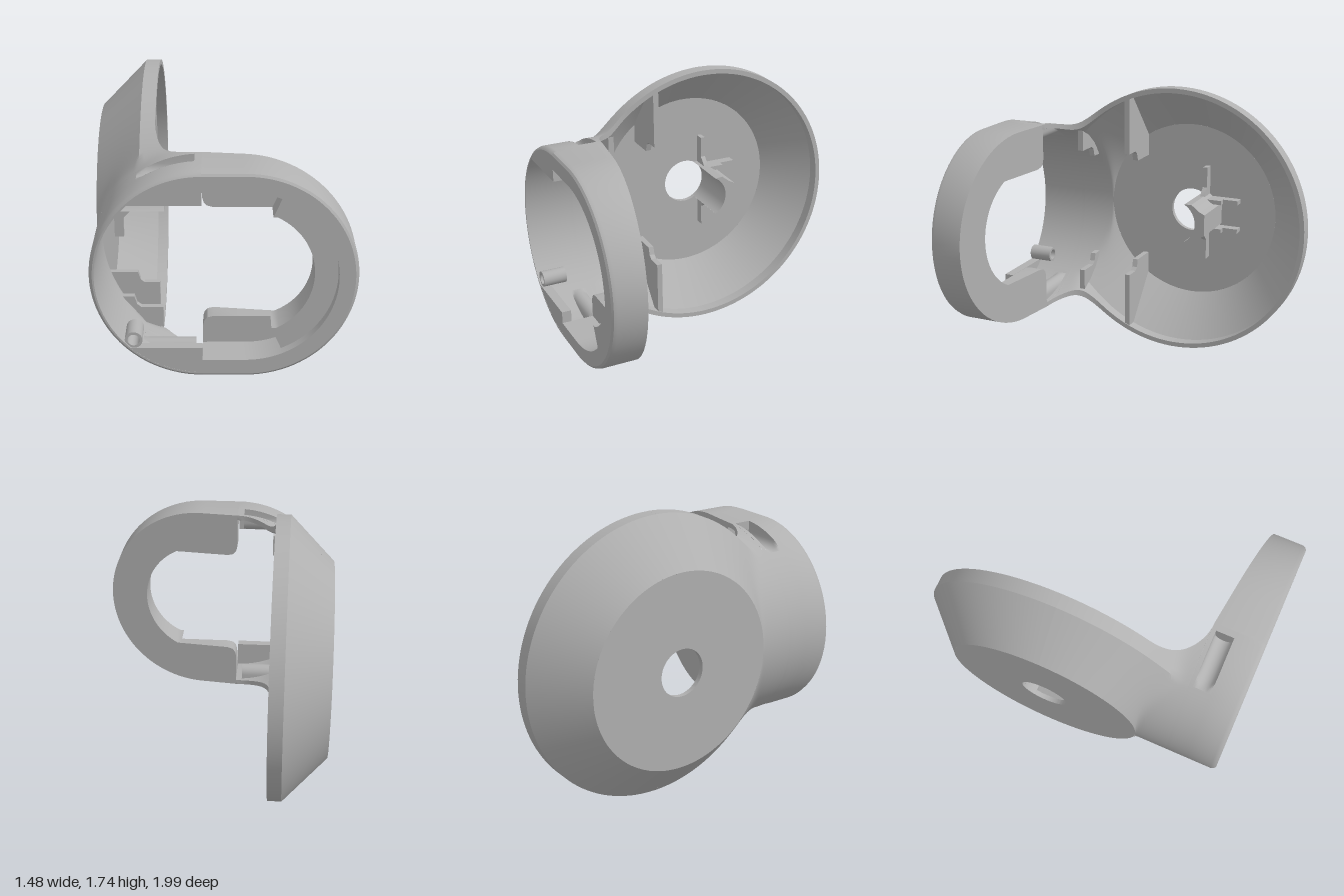
import * as THREE from 'three';
import { toCreasedNormals } from 'three/addons/utils/BufferGeometryUtils.js';

const CY = 0.875, CZ = -0.12, CX = -0.12; // dish centre (y, z); left cup centre x

const grey = new THREE.MeshStandardMaterial({ color: 0xb0b0b0, side: THREE.DoubleSide });
grey.name = 'plain grey';

export function createModel() {
  const model = new THREE.Group();

  const add = (name, geo, crease = 0.5) => {
    const mesh = new THREE.Mesh(toCreasedNormals(geo, crease), grey);
    mesh.name = name;
    model.add(mesh);
    return mesh;
  };

  // Joins rows of points into a skin; closed rows wrap round
  const loft = (rows, closed, skip = () => false, capFan = -1) => {
    const pos = [], n = rows[0].length;
    const tri = (a, b, c) => pos.push(...a, ...b, ...c);
    for (let i = 0; i < rows.length - 1; i++) {
      for (let j = 0; j < (closed ? n : n - 1); j++) {
        if (skip(i, j)) continue;
        const k = (j + 1) % n;
        tri(rows[i][j], rows[i][k], rows[i + 1][k]);
        tri(rows[i][j], rows[i + 1][k], rows[i + 1][j]);
      }
    }
    if (capFan >= 0) for (const row of [rows[0], rows[rows.length - 1]]) {
      for (let j = 1; j < n - 1; j++) tri(row[capFan], row[(capFan + j) % n], row[(capFan + j + 1) % n]);
    }
    const g = new THREE.BufferGeometry();
    g.setAttribute('position', new THREE.Float32BufferAttribute(pos, 3));
    return g;
  };
  const range = (n, f) => Array.from({ length: n + 1 }, (_, i) => f(i / n));

  // Dish: floor disc with a hole, and the rear half of the sloping wall
  const lathe = (pts, start, len, seg) => new THREE.LatheGeometry(
    [...pts, pts[0]].map(([r, x]) => new THREE.Vector2(r, x)), seg, start, len)
    .rotateZ(-Math.PI / 2).translate(0, CY, CZ);
  add('dishFloor', lathe([[0.145, -0.74], [0.6, -0.74], [0.583, -0.71], [0.145, -0.71]], 0, Math.PI * 2, 96));
  add('dishWall', lathe([[0.6, -0.74], [0.87, -0.475], [0.87, -0.39], [0.84, -0.39], [0.84, -0.46], [0.583, -0.71]],
    Math.PI / 2, Math.PI, 64));

  // Neck: front half of the dish merging into the round cup
  const outer = { floor: -0.74, bend: -0.475, cup: 0.62, r: x => x > -0.475 ? 0.87 : 0.6 + (x + 0.74) * 1.019 };
  const inner = { floor: -0.71, bend: -0.46, cup: 0.59, r: x => x > -0.46 ? 0.84 : 0.583 + (x + 0.71) * 1.028 };
  const halfWidth = (s, x, z) => {
    const a = Math.sqrt(Math.max(0, s.r(x) ** 2 - (z - CZ) ** 2));
    const b = Math.sqrt(Math.max(0, s.cup ** 2 - (x - CX) ** 2));
    return (a ** 12 + b ** 12) ** (1 / 12);
  };
  const rimX = z => z < 0.4 ? -0.39 : CX - 0.27 * Math.sqrt(Math.max(0, 1 - ((z - 0.4) / 0.285) ** 2));
  const halfSkin = (s, z, sign) => [
    ...range(5, t => rimX(z) + (s.bend - rimX(z)) * t),
    ...range(20, t => s.floor + (s.bend - s.floor) * (1 - t) ** 2).slice(1),
  ].map(x => [x, CY + sign * halfWidth(s, x, z), z]);
  const neckRow = z => [
    ...halfSkin(outer, z, 1), ...halfSkin(outer, z, -1).reverse(),
    ...halfSkin(inner, z, -1), ...halfSkin(inner, z, 1).reverse(),
  ];
  const neckZ = [...range(30, t => CZ + 0.6 * Math.sin(t * Math.PI / 2)),
    ...range(20, t => 0.48 + 0.205 * Math.sin(t * Math.PI / 2)).slice(1)];
  const count = 26;
  add('neck', loft(neckZ.map(neckRow), true, (i, j) => j === count - 1 || j === 3 * count - 1), 0.6);

  // Left half of the cup wall, with a slot above and below
  const slotA = Math.acos(-0.04 / 0.62), slotB = Math.acos(-0.36 / 0.62), PI = Math.PI;
  const angles = [PI / 2, ...range(8, t => slotA + (slotB - slotA) * t),
    ...range(24, t => slotB + (2 * PI - 2 * slotB) * t).slice(1),
    ...range(8, t => 2 * PI - slotB + (slotB - slotA) * t).slice(1), PI * 1.5];
  const arc = (r, z) => angles.map(a => [CX + r * Math.cos(a), CY + r * Math.sin(a), z]);
  const cupRows = [[0.685, 0.62], [0.71, 0.62], [0.82, 0.62], [0.97, 0.62], [0.99, 0.613], [1, 0.6], [1, 0.59]]
    .map(([z, r]) => [...arc(r, z), ...arc(0.59, z).reverse()]);
  const total = angles.length;
  add('cupWall', loft(cupRows, true, (i, j) => {
    const k = j < total ? j : 2 * total - 2 - j;
    return i === 1 && ((k >= 1 && k < 9) || (k >= total - 10 && k < total - 2));
  }), 0.6);

  // Right half of the cup: thick rim, recessed ledge and sloping back
  const backZ = x => 0.685 + (x + 0.12) * 0.123;
  const rimRow = (x0, sign, a, ledge, hole) => {
    const c = Math.cos(a), s = Math.sin(a);
    const h = hole ?? Math.min(0.38, 0.34 / Math.max(1e-6, Math.abs(s)));
    const at = (r, z) => { const x = x0 + r * c; return [x, CY + r * s, z ?? backZ(x)]; };
    return [at(0.62), at(0.62, 0.97), at(0.613, 0.99), at(0.6, 1), at(0.51, 1), at(0.51, ledge), at(h, ledge), at(h)];
  };
  const straight = sign => [[-0.12, 0.4], [-0.112, 0.37], [-0.095, 0.35], [-0.06, 0.34], [0.1, 0.34]]
    .map(([x, h]) => rimRow(x, sign, sign * PI / 2, 0.8, h));
  const step = Math.acos(0.15 / 0.38);
  const bend = [
    ...range(6, t => rimRow(0.12, 1, PI / 2 + (step - PI / 2) * t, 0.8)),
    ...range(40, t => rimRow(0.12, 1, step - 2 * step * t, 0.94)),
    ...range(6, t => rimRow(0.12, 1, -step + (step - PI / 2) * t, 0.8)),
  ];
  add('cupRim', loft([...straight(1), ...bend, ...straight(-1).reverse()], true, undefined, 5));

  // Extruded flat parts
  const plateZ = (pts, z, depth) => new THREE.ExtrudeGeometry(
    new THREE.Shape(pts.map(p => new THREE.Vector2(...p))), { depth, bevelEnabled: false }).translate(0, 0, z);
  const alongX = (pts, x0, x1) => plateZ(pts, x0, x1 - x0).rotateY(PI / 2); // points are (-z, y)

  for (const s of [1, -1]) {
    const side = s > 0 ? 'upper' : 'lower';
    const m = pts => pts.map(([x, y]) => [x, CY + s * y]);

    // Front flange behind the open edge
    const a0 = PI - Math.asin(0.435 / 0.6);
    add(side + 'Flange', plateZ(m([[-0.12, 0.435],
      ...range(16, t => PI / 2 + (a0 - PI / 2) * t).map(a => [CX + 0.6 * Math.cos(a), 0.6 * Math.sin(a)])]), 0.94, 0.059));

    // Stepped support webs inside the dish and neck
    add(side + 'DishWeb', plateZ(m([[-0.72, 0.345], [-0.53, 0.345], [-0.515, 0.395], [-0.49, 0.415], [-0.395, 0.415],
      [-0.395, 0.775], [-0.46, 0.775], [-0.72, 0.475]]), 0.2, 0.035));
    add(side + 'NeckWeb', plateZ(m([[-0.61, 0.345], [-0.53, 0.345], [-0.515, 0.395], [-0.49, 0.415], [-0.36, 0.415],
      [-0.36, 0.55], [-0.45, 0.505], [-0.53, 0.44]]), 0.52, 0.035));

    // Slot trough
    const prof = [[0.71, 0.7], ...range(12, t => [0.765 - 0.055 * Math.cos(PI * t), 0.56 - 0.055 * Math.sin(PI * t)]), [0.82, 0.7]];
    const rows = range(12, t => -0.48 + 0.32 * t).map(x => {
      const wall = Math.sqrt(0.62 ** 2 - (x - CX) ** 2);
      return prof.map(([z, y]) => [x, CY + s * Math.min(y, wall), z]);
    });
    add(side + 'SlotTrough', loft(rows, false), 0.8);
    const end = rows[rows.length - 1];
    add(side + 'SlotEnd', loft([end, end.map(p => [p[0], end[0][1], p[2]])], false));

    // Low ribs round the hole
    add(side + 'CrossRib', plateZ(m([[-0.72, 0.12], [-0.6, 0.12], [-0.61, 0.14], [-0.65, 0.18], [-0.65, 0.315], [-0.72, 0.315]]), -0.245, 0.03));
    const rib = new THREE.BoxGeometry(0.07, 0.028, 0.2);
    add(side + 'LongRib', rib.translate(-0.685, CY + s * 0.097, -0.36));
    const gusset = new THREE.BoxGeometry(0.11, 0.028, 0.1);
    add(side + 'RibGusset', gusset.translate(-0.665, CY + s * 0.097, -0.31));
  }

  // Half-round guide post beside the hole
  add('guidePost', alongX([
    [0.19, 0.126], [0.24, 0.13], [0.29, 0.09], [0.33, 0.07], [0.33, -0.07], [0.29, -0.09], [0.24, -0.13], [0.19, -0.126],
    ...range(16, t => -1.06 + 2.12 * t).map(a => [0.12 + 0.145 * Math.cos(a), 0.145 * Math.sin(a)]),
  ].map(([z, y]) => [z, CY + y]), -0.72, -0.385));

  // Small screw tube at the lower front
  add('screwTube', new THREE.LatheGeometry([[0.034, 0], [0.05, 0], [0.05, 0.15], [0.034, 0.15], [0.034, 0]]
    .map(p => new THREE.Vector2(...p)), 24).rotateX(PI / 2).translate(-0.505, 0.487, 0.84));

  return model;
}
